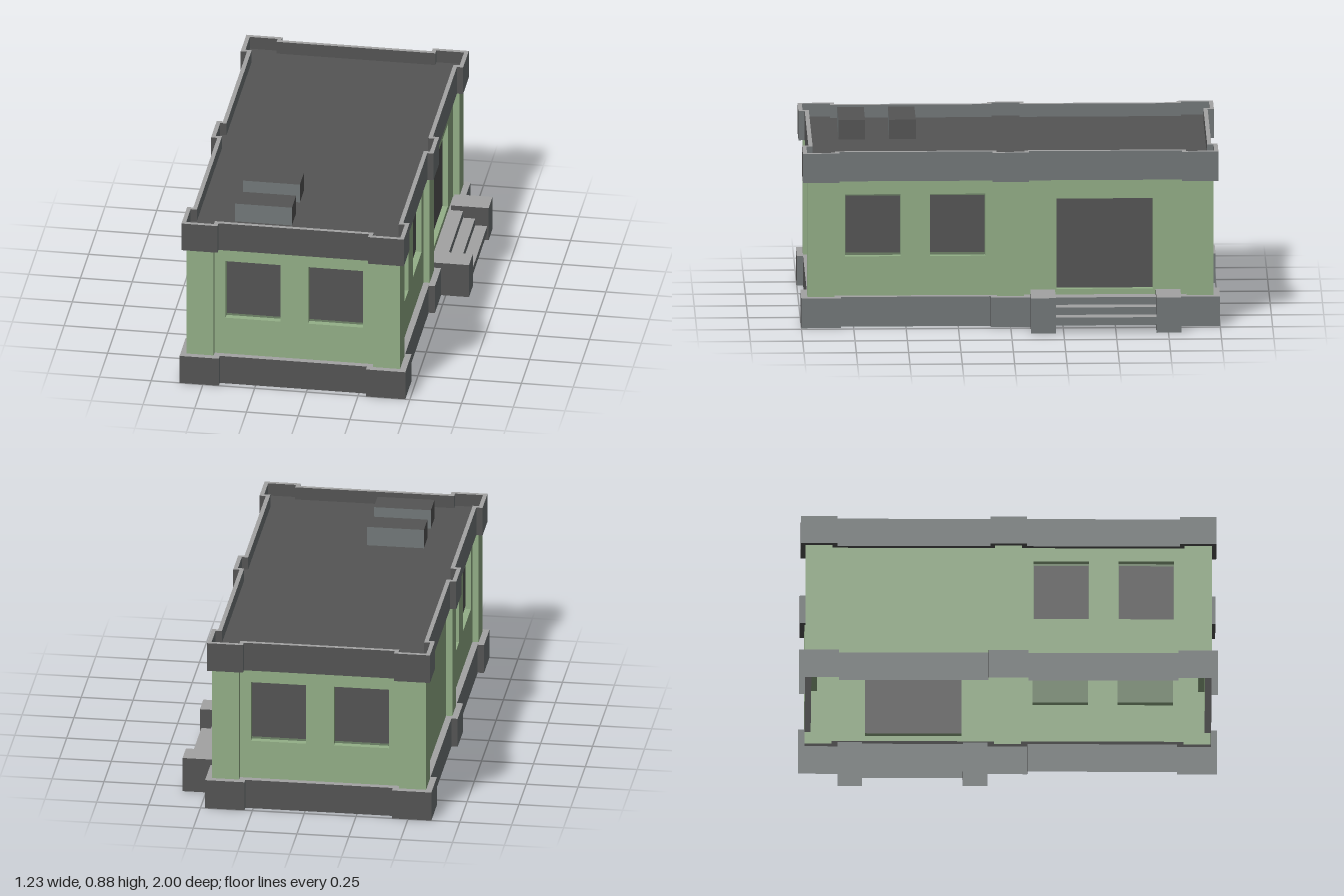
import * as THREE from 'three';

const mat = (name, color) => new THREE.MeshStandardMaterial({ name, color, side: THREE.DoubleSide });

export function createModel() {
  const green = mat('wallGreen', 0x94b088);
  const dark = mat('darkGrey', 0x555555);
  const grey = mat('midGrey', 0x73797a);
  const light = mat('lightGrey', 0xa3a3a3);
  const frameGreen = mat('frameGreen', 0x6f8468);

  const model = new THREE.Group();
  model.name = 'building';
  const shell = new THREE.Group();
  shell.name = 'shell';
  shell.position.x = -0.0675;
  model.add(shell);

  const add = (parent, name, geo, material, x = 0, y = 0, z = 0) => {
    const m = new THREE.Mesh(geo, material);
    m.name = name;
    m.position.set(x, y, z);
    parent.add(m);
    return m;
  };

  // Plan with corner and middle pilasters, grown outwards by d
  const outline = (d) => {
    const xo = 0.5155 + d, zo = 0.97 + d, xi = xo - 0.03, zi = zo - 0.03;
    const px = 0.3855 - d, pz = 0.84 - d, m = 0.065 + d;
    const half = [
      [-xo, zo], [-px, zo], [-px, zi], [px, zi], [px, zo], [xo, zo],
      [xo, pz], [xi, pz], [xi, m], [xo, m], [xo, -m], [xi, -m], [xi, -pz], [xo, -pz],
    ];
    return [...half, ...half.map(([x, z]) => [-x, -z])].map(([x, z]) => new THREE.Vector2(x, z));
  };
  const planShape = (d) => new THREE.Shape(outline(d).map((p) => new THREE.Vector2(p.x, -p.y)));

  // Horizontal face, optionally with the middle cut out
  const slab = (name, y, d, holeD, material) => {
    const s = planShape(d);
    if (holeD !== undefined) s.holes.push(planShape(holeD));
    add(shell, name, new THREE.ShapeGeometry(s).rotateX(-Math.PI / 2), material, 0, y, 0);
  };

  const rect = (u0, u1, y0, y1, Type) => new Type([
    new THREE.Vector2(u0, y0), new THREE.Vector2(u1, y0),
    new THREE.Vector2(u1, y1), new THREE.Vector2(u0, y1),
  ]);

  // Recessed pane with four reveals; the group's +z points outwards
  const opening = (parent, name, { u, w, y0, y1, lip }, z) => {
    const g = new THREE.Group(), h = y1 - y0, depth = 0.03;
    g.name = name;
    g.position.set(u, (y0 + y1) / 2, z);
    parent.add(g);
    for (const s of [-1, 1]) {
      add(g, 'sideReveal', new THREE.PlaneGeometry(depth, h).rotateY(-s * Math.PI / 2), green, s * w / 2, 0, -depth / 2);
      add(g, 'levelReveal', new THREE.PlaneGeometry(w, depth).rotateX(s * Math.PI / 2), green, 0, s * h / 2, -depth / 2);
    }
    if (lip) add(g, 'frame', new THREE.PlaneGeometry(w, h), frameGreen, 0, 0, -depth);
    add(g, 'pane', new THREE.PlaneGeometry(w - lip * 0.4, h - 2 * lip), dark, 0, 0, -depth + 0.003);
  };

  // Vertical faces following the plan; openings are listed by edge number
  const band = (name, d, y0, y1, pick, openings = {}) => {
    const pts = outline(d);
    pts.forEach((a, i) => {
      const b = pts[(i + 1) % pts.length];
      const t = b.clone().sub(a).normalize();
      const side = new THREE.Group();
      side.name = name;
      side.rotation.y = Math.atan2(-t.y, t.x);
      shell.add(side);
      const z = -t.y * a.x + t.x * a.y;
      const s = rect(t.dot(a), t.dot(b), y0, y1, THREE.Shape);
      for (const o of openings[i] || []) {
        s.holes.push(rect(o.u - o.w / 2, o.u + o.w / 2, o.y0, o.y1, THREE.Path));
        opening(side, o.lip ? 'window' : 'door', o, z);
      }
      add(side, name + 'Face', new THREE.ShapeGeometry(s), pick(t), 0, 0, z);
    });
  };
  const stone = (t) => (Math.abs(t.x) > 0.5 ? dark : grey);
  const win = (u) => ({ u, w: 0.265, y0: 0.337, y1: 0.641, lip: 0.012 });

  // Base, walls, parapet and roof
  band('base', 0.03, 0, 0.145, stone);
  slab('baseLedge', 0.145, 0.03, 0, light);
  band('wall', 0, 0.145, 0.71, () => green, {
    2: [win(-0.2), win(0.2)],
    7: [win(-0.6575), win(-0.2525)],
    11: [{ u: 0.45, w: 0.46, y0: 0.172, y1: 0.615, lip: 0 }],
    16: [win(-0.2), win(0.2)],
    25: [win(0.2525), win(0.6575)],
  });
  slab('parapetUnderside', 0.71, 0.022, 0, dark);
  band('parapet', 0.022, 0.71, 0.853, stone);
  slab('parapetRim', 0.853, 0.022, 0.002, light);
  band('parapetInside', 0.002, 0.79, 0.853, stone);
  slab('roof', 0.79, 0.002, undefined, dark);

  // Rooftop units
  for (const z of [0.745, 0.503]) {
    add(model, 'rooftopUnit', new THREE.BoxGeometry(0.275, 0.095, 0.127),
      [dark, dark, dark, dark, grey, grey], -0.2375, 0.8375, z);
  }

  // Stair side blocks, open underneath
  for (const z of [-0.1535, -0.752]) {
    const geo = new THREE.BoxGeometry(0.183, 0.172, 0.118);
    const kept = [...geo.index.array].filter((_, i) => i < 18 || i >= 24);
    geo.setIndex(kept);
    geo.clearGroups();
    [0, 1, 2, 4, 5].forEach((m, i) => geo.addGroup(i * 6, 6, m));
    add(model, 'stairBlock', geo, [grey, grey, light, dark, dark, dark], 0.5215, 0.086, z);
  }

  // Steps: thin treads and risers
  for (let i = 0; i < 3; i++) {
    const x = 0.49 + i * 0.058, y = 0.147 - i * 0.036;
    add(model, 'tread', new THREE.PlaneGeometry(0.058, 0.484).rotateX(-Math.PI / 2), light, x - 0.029, y, -0.453);
    add(model, 'riser', new THREE.PlaneGeometry(0.484, 0.036).rotateY(Math.PI / 2), grey, x, y - 0.018, -0.453);
  }
  return model;
}
